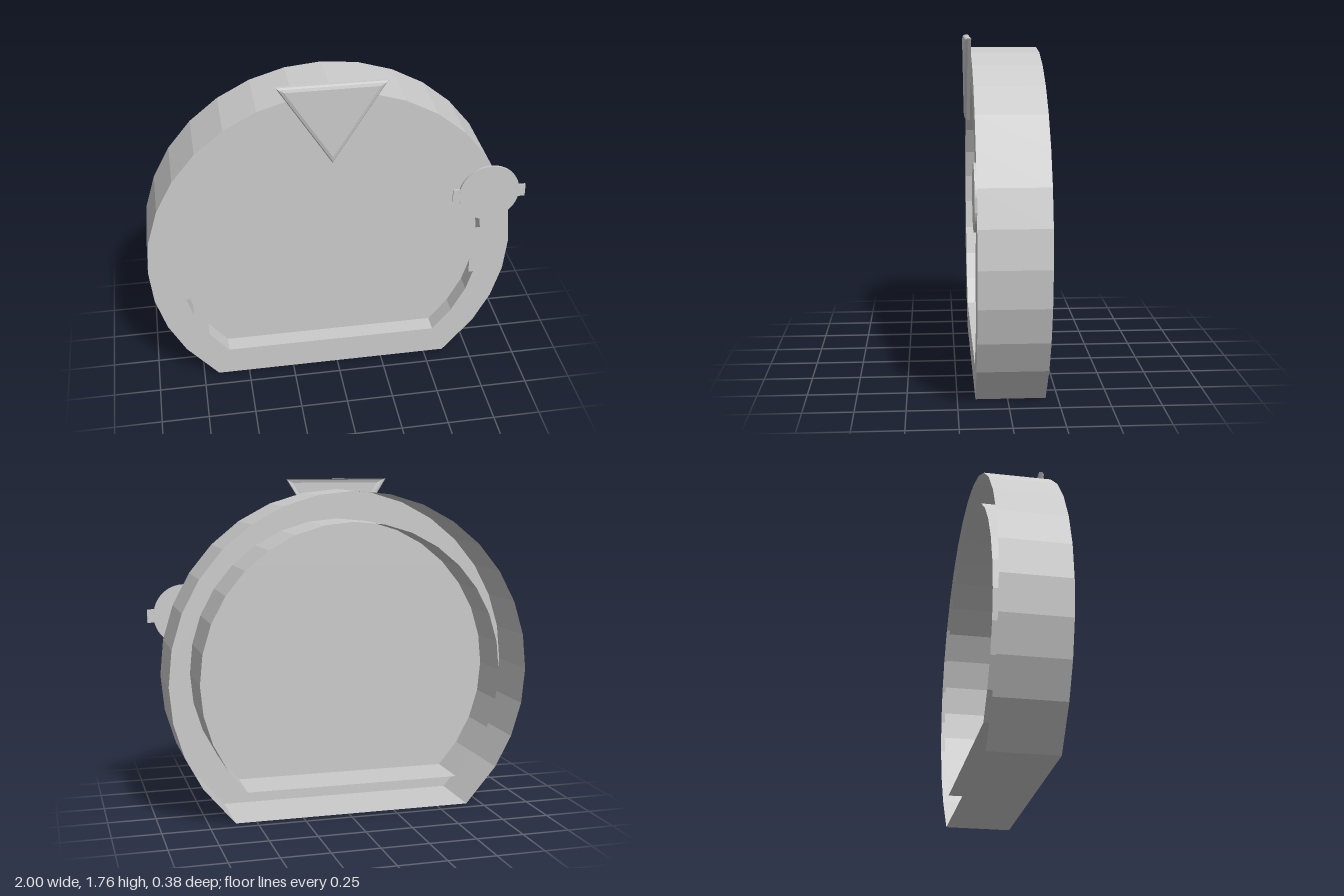
import * as THREE from 'three';

const CX = -0.03, CY = 0.735, BACK = -0.19, FRONT = 0.16;
const material = new THREE.MeshStandardMaterial({
  color: 0xcccccc, flatShading: true, side: THREE.DoubleSide,
});

// Counter-clockwise 32-sided arc, left open at the bottom; closing it gives the flat foot.
function arcLoop(radius, lowest) {
  const loop = [];
  for (let k = -lowest; k <= 16 + lowest; k++) {
    const a = (k * Math.PI) / 16;
    loop.push(new THREE.Vector2(CX + radius * Math.cos(a), CY + radius * Math.sin(a)));
  }
  return loop;
}

// Wall joining two loops of equal length at two depths.
function band(loopA, zA, loopB, zB) {
  const pos = [], n = loopA.length;
  for (let i = 0; i < n; i++) {
    const j = (i + 1) % n;
    const a = [loopA[i].x, loopA[i].y, zA], b = [loopA[j].x, loopA[j].y, zA];
    const c = [loopB[j].x, loopB[j].y, zB], d = [loopB[i].x, loopB[i].y, zB];
    pos.push(...a, ...b, ...c, ...a, ...c, ...d);
  }
  const g = new THREE.BufferGeometry();
  g.setAttribute('position', new THREE.Float32BufferAttribute(pos, 3));
  g.computeVertexNormals();
  return g;
}

function face(loop, z, hole) {
  const shape = new THREE.Shape(loop);
  if (hole) shape.holes.push(new THREE.Path(hole));
  return new THREE.ShapeGeometry(shape).translate(0, 0, z);
}

export function createModel() {
  const model = new THREE.Group();
  const add = (name, geometry, parent = model) => {
    const mesh = new THREE.Mesh(geometry, material);
    mesh.name = name;
    parent.add(mesh);
    return mesh;
  };

  // Open-backed case: outer wall, front rim, inner wall and recessed panel
  const outer = [
    new THREE.Vector2(CX + 0.64, 0), ...arcLoop(0.97, 3), new THREE.Vector2(CX - 0.64, 0),
  ];
  const inner = arcLoop(0.813, 4);
  add('outerWall', band(outer, BACK, outer, FRONT));
  add('frontRim', face(outer, FRONT, inner));
  add('innerWall', band(inner, FRONT, inner, BACK));
  add('recessedPanel', face(inner, 0.066));

  // Flat side plates on the rim
  for (const [name, x] of [['rightSidePlate', -0.862], ['leftSidePlate', 0.793]]) {
    add(name, new THREE.PlaneGeometry(0.127, 0.293).translate(x, 0.686, FRONT + 0.002));
  }

  // Hollow triangular pointer with a softened front edge
  const triangle = (s) => [[0.275, 1.76], [-0.275, 1.76], [0, 1.322]].map(
    ([x, y]) => new THREE.Vector2(CX + x * s, 1.612 + (y - 1.612) * s));
  const pointer = new THREE.Group();
  pointer.name = 'pointer';
  model.add(pointer);
  const steps = [[1, 0.16], [1, 0.178], [0.96, 0.188], [0.86, 0.193]];
  for (let i = 0; i < 3; i++) {
    const [s0, z0] = steps[i], [s1, z1] = steps[i + 1];
    add('pointerEdge', band(triangle(s0), z0, triangle(s1), z1), pointer);
  }
  add('pointerFace', face(triangle(0.86), 0.193), pointer);

  // Thin round knob with a tab on each side
  const knob = new THREE.Group();
  knob.name = 'knob';
  knob.position.set(0.805, 1.052, 0.167);
  model.add(knob);
  add('knobDisc', new THREE.CylinderGeometry(0.162, 0.162, 0.012, 48).rotateX(Math.PI / 2), knob);
  for (const side of [-1, 1]) {
    add('knobTab', new THREE.BoxGeometry(0.045, 0.07, 0.01).translate(side * 0.1725, 0, 0), knob);
  }
  return model;
}
